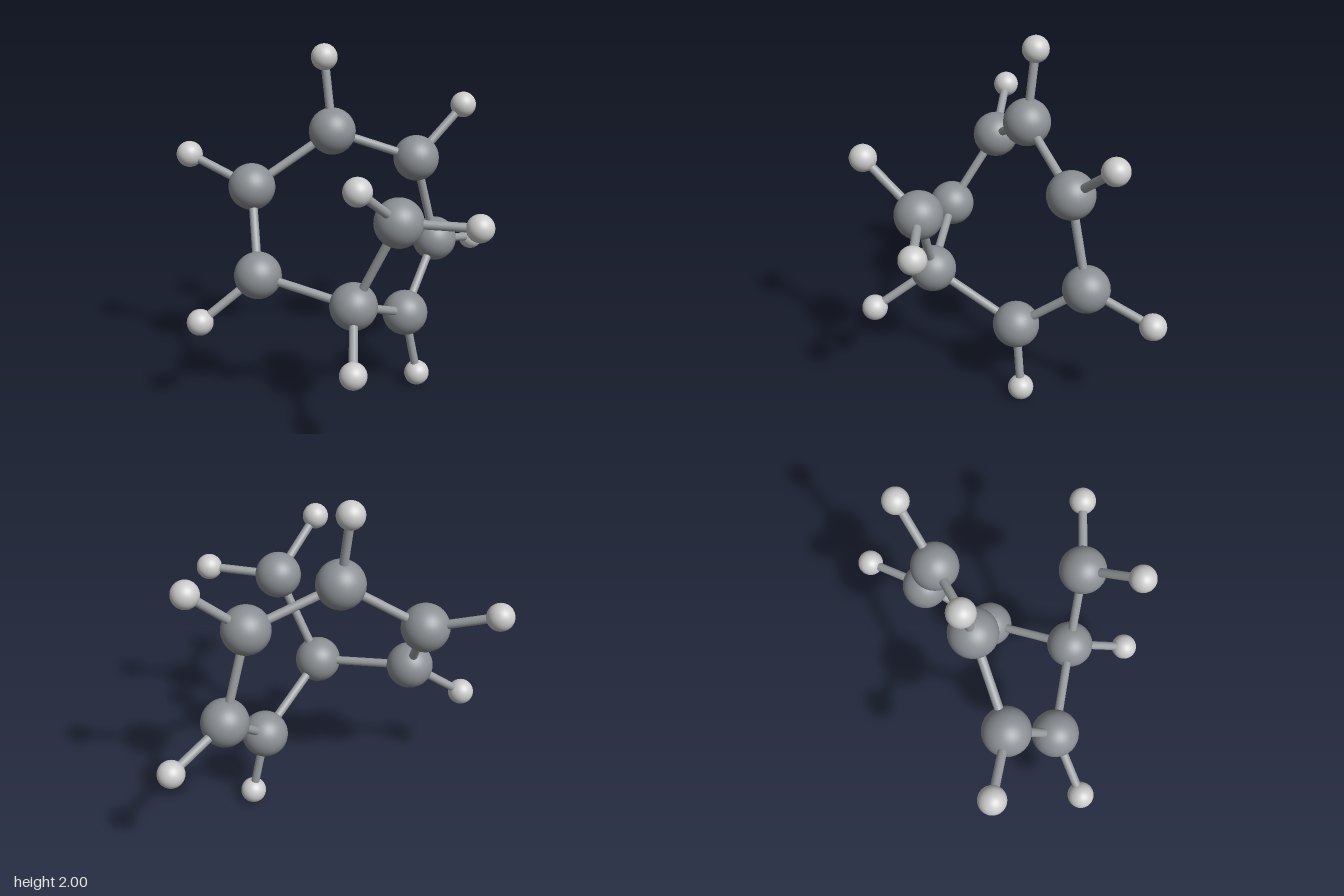
import * as THREE from 'three';

export function createModel() {
  const model = new THREE.Group();
  const paint = (color) => new THREE.MeshStandardMaterial({ color });
  const largeMaterial = paint(0x8c9094);
  const smallMaterial = paint(0xcccccc);
  const bondMaterial = paint(0x9ca0a2);
  const largeSphere = new THREE.SphereGeometry(0.13, 32, 24);
  const smallSphere = new THREE.SphereGeometry(0.073, 32, 24);
  const rod = new THREE.CylinderGeometry(0.024, 0.024, 1, 20);
  const up = new THREE.Vector3(0, 1, 0);

  // Seven ring atoms in order, each with the small atoms attached to it
  const ring = [
    { at: [-0.07, 1.525, -0.3], small: [[-0.087, 1.927, -0.36]] },
    { at: [0.415, 1.33, -0.225], small: [[0.72, 1.607, -0.24]] },
    { at: [0.555, 0.807, -0.245], small: [[0.905, 0.7, -0.415]] },
    { at: [0.25, 0.48, -0.01], small: [[0.325, 0.078, 0.005]] },
    { at: [-0.188, 0.717, 0.253], small: [[-0.328, 0.488, 0.565]] },
    { at: [-0.585, 0.813, -0.138], small: [[-0.91, 0.573, -0.185]] },
    { at: [-0.512, 1.23, -0.408], small: [[-0.783, 1.378, -0.677]] },
  ];
  // The arm outside the ring, joined to the fifth ring atom
  const arm = { at: [-0.015, 1.226, 0.434], small: [[-0.307, 1.478, 0.58], [0.318, 1.228, 0.675]] };

  function addAtom(name, geometry, material, at) {
    const atom = new THREE.Mesh(geometry, material);
    atom.name = name;
    atom.position.set(...at);
    model.add(atom);
  }

  // A rod running from centre to centre
  function addBond(name, from, to) {
    const a = new THREE.Vector3(...from);
    const b = new THREE.Vector3(...to);
    const direction = b.clone().sub(a);
    const bond = new THREE.Mesh(rod, bondMaterial);
    bond.name = name;
    bond.position.copy(a).add(b).multiplyScalar(0.5);
    bond.scale.y = direction.length();
    bond.quaternion.setFromUnitVectors(up, direction.normalize());
    model.add(bond);
  }

  // Atoms and the short bonds to the small ones
  [...ring, arm].forEach(({ at, small }) => {
    addAtom('carbonAtom', largeSphere, largeMaterial, at);
    small.forEach((end) => {
      addAtom('hydrogenAtom', smallSphere, smallMaterial, end);
      addBond('hydrogenBond', at, end);
    });
  });

  // Closed ring of bonds, then the arm
  ring.forEach(({ at }, i) => addBond('ringBond', at, ring[(i + 1) % ring.length].at));
  addBond('armBond', ring[4].at, arm.at);

  return model;
}
